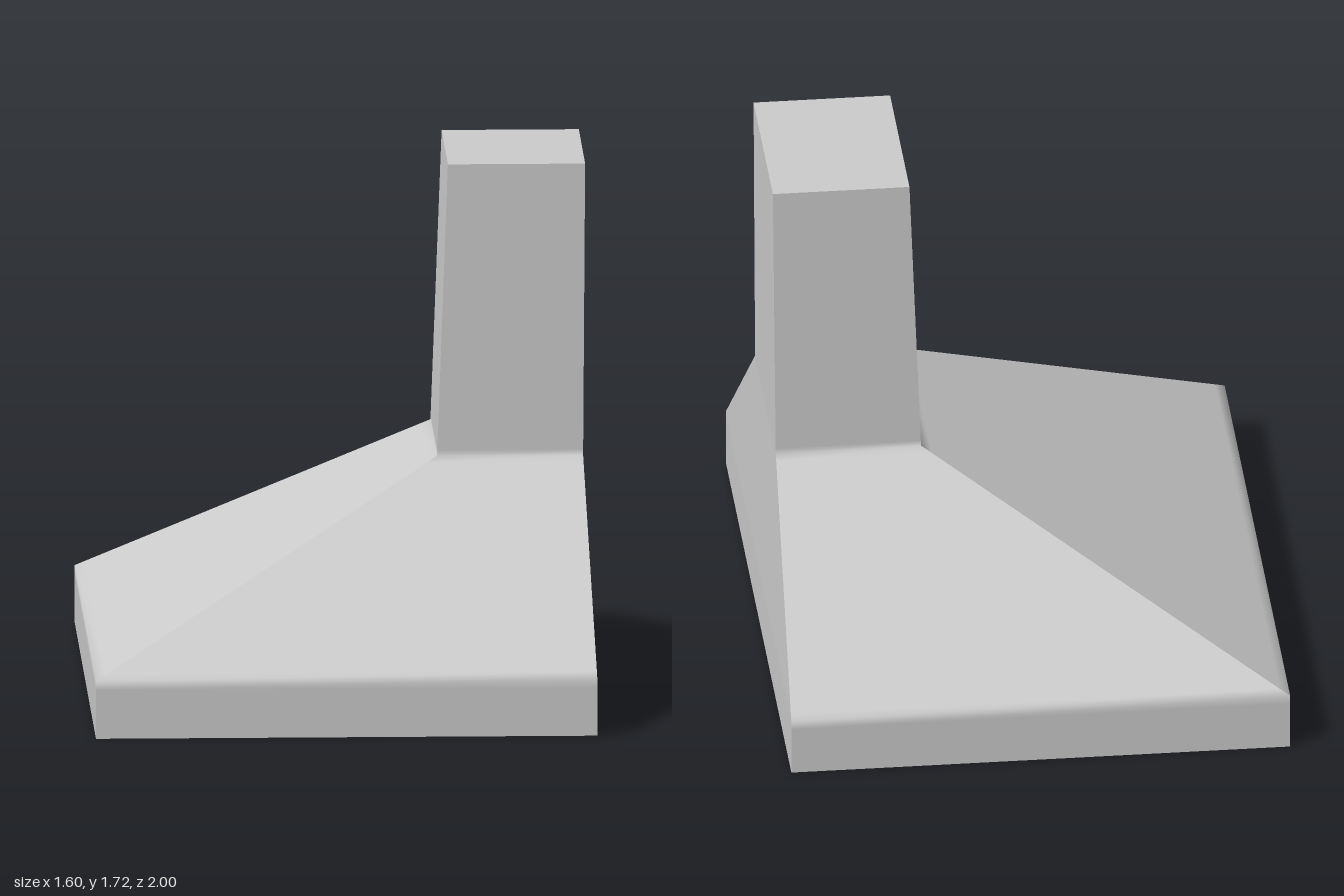
import * as THREE from 'three';

// Rectangular section: x range, half depth in z, height
const ring = (x0, x1, z, y) => ({ x0, x1, z, y });

const corners = ({ x0, x1, z, y }) => [[x0, y, z], [x1, y, z], [x1, y, -z], [x0, y, -z]];

const blend = (a, b, t) => ring(
  a.x0 + (b.x0 - a.x0) * t, a.x1 + (b.x1 - a.x1) * t,
  a.z + (b.z - a.z) * t, a.y + (b.y - a.y) * t);

function makeGeometry(points, index) {
  const g = new THREE.BufferGeometry();
  g.setAttribute('position', new THREE.Float32BufferAttribute(points.flat(), 3));
  g.setIndex(index);
  g.computeVertexNormals();
  return g;
}

// One wall of a loft; each wall owns its vertices so the corners stay sharp
function wall(rings, side) {
  const points = [], index = [];
  rings.forEach((r, i) => {
    const c = corners(r);
    points.push(c[side], c[(side + 1) % 4]);
    if (i === 0) return;
    const a = 2 * i - 2;
    index.push(a, a + 1, a + 3, a, a + 3, a + 2);
  });
  return makeGeometry(points, index);
}

const cap = (r, down) => makeGeometry(corners(r), down ? [0, 2, 1, 0, 3, 2] : [0, 1, 2, 0, 2, 3]);

export function createModel() {
  const model = new THREE.Group();
  const material = new THREE.MeshStandardMaterial({ color: 0xcccccc });

  const add = (name, geometry, parent = model) => {
    const mesh = new THREE.Mesh(geometry, material);
    mesh.name = name;
    parent.add(mesh);
  };
  const addLoft = (name, rings) => {
    const group = new THREE.Group();
    group.name = name;
    for (let side = 0; side < 4; side++) add(name + 'Wall', wall(rings, side), group);
    model.add(group);
  };

  const base = ring(-0.8, 0.8, 1, 0);
  const skirt = ring(-0.8, 0.8, 1, 0.186);
  const neck = ring(0.312, 0.778, 0.315, 0.782);
  const top = ring(0.347, 0.785, 0.295, 1.724);
  const opening = ring(-0.74, 0.68, 0.93, 0);
  const ceiling = ring(-0.4, 0.34, 0.6, 0.38);

  // Skirt, sloping canopy and chimney, with support loops that soften the bends
  addLoft('hoodShell', [
    base, blend(base, skirt, 0.85), skirt, blend(skirt, neck, 0.03),
    blend(skirt, neck, 0.97), neck, blend(neck, top, 0.02), top,
  ]);
  add('chimneyTop', cap(top, false));

  // Underside: flat rim around a tapered recess
  addLoft('bottomRim', [opening, base]);
  addLoft('recess', [ceiling, opening]);
  add('recessCeiling', cap(ceiling, true));

  return model;
}
